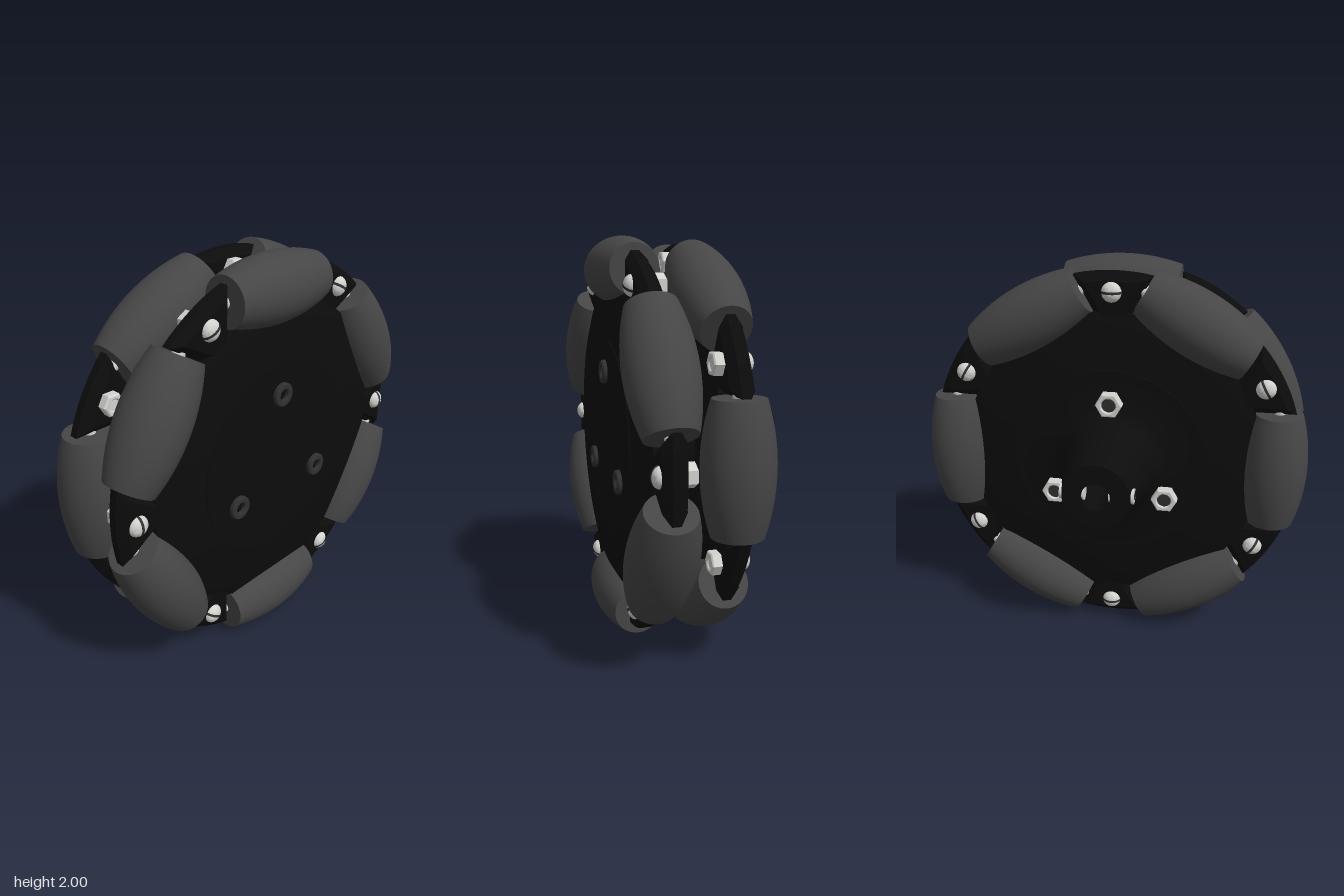
import * as THREE from 'three';
import { toCreasedNormals } from 'three/addons/utils/BufferGeometryUtils.js';

const mat = (name, color) => {
  const m = new THREE.MeshStandardMaterial({ color });
  m.name = name;
  return m;
};
const black = mat('black plastic', 0x0c0c0c);
const rubber = mat('grey rubber', 0x464646);
const steel = mat('bright steel', 0xd2d2cf);
const dark = mat('dark steel', 0x303030);

function add(parent, name, geometry, material, x = 0, y = 0, z = 0) {
  const mesh = new THREE.Mesh(toCreasedNormals(geometry, 0.6), material);
  mesh.name = name;
  mesh.position.set(x, y, z);
  parent.add(mesh);
  return mesh;
}

// Lathe around z; points are [radius, z], listed so the surface faces out
const turned = (points, segments = 64) =>
  new THREE.LatheGeometry(points.map(p => new THREE.Vector2(...p)), segments).rotateX(Math.PI / 2);

// Cylinder along z; six sides make a nut
const rod = (r, length, sides = 24) =>
  new THREE.CylinderGeometry(r, r, length, sides).rotateX(Math.PI / 2);

// Ring extruded along z from 0, with a round hole
function ring(r, hole, length, sides) {
  const shape = new THREE.Shape();
  for (let i = 0; i < sides; i++) {
    const a = (i / sides) * Math.PI * 2;
    shape[i ? 'lineTo' : 'moveTo'](r * Math.cos(a), r * Math.sin(a));
  }
  shape.closePath();
  const path = new THREE.Path();
  path.absarc(0, 0, hole, 0, Math.PI * 2, true);
  shape.holes.push(path);
  return new THREE.ExtrudeGeometry(shape, {
    depth: length - 0.012, bevelThickness: 0.006, bevelSize: 0.006, bevelOffset: -0.006,
    bevelSegments: 1, curveSegments: 16,
  }).translate(0, 0, 0.006);
}

const CENTRE = 0.835; // distance from wheel centre to roller axis
const HALF = 0.3;     // half the roller length

// Barrel whose outer edge follows the unit wheel circle
function rollerGeometry() {
  const points = [[0.03, -HALF]];
  for (let i = 0; i <= 20; i++) {
    const t = -HALF + (2 * HALF * i) / 20;
    points.push([Math.sqrt(1 - t * t) - CENTRE, t]);
  }
  points.push([0.03, HALF]);
  return turned(points, 48).rotateY(Math.PI / 2);
}

// Disc outline with six roller pockets and lugs between them
function plateGeometry() {
  const pts = [];
  const pocket = [[0.918, -0.306], [0.705, -0.306], [0.675, -0.15], [0.665, 0],
    [0.675, 0.15], [0.705, 0.306], [0.918, 0.306]];
  for (let k = 0; k < 6; k++) {
    const a = (k + 0.5) * Math.PI / 3;
    for (const [u, t] of pocket)
      pts.push(new THREE.Vector2(u * Math.cos(a) - t * Math.sin(a), u * Math.sin(a) + t * Math.cos(a)));
    for (let j = -3; j <= 3; j++) {
      const b = a + Math.PI / 6 + j * 0.05;
      pts.push(new THREE.Vector2(0.968 * Math.cos(b), 0.968 * Math.sin(b)));
    }
  }
  return new THREE.ExtrudeGeometry(new THREE.Shape(pts), {
    depth: 0.04, bevelThickness: 0.035, bevelSize: 0.04, bevelOffset: -0.04, bevelSegments: 1,
  }).translate(0, 0, -0.02);
}

// One row of six rollers; screw heads face +z, nuts face -z
function createRow(name) {
  const row = new THREE.Group();
  row.name = name;
  add(row, 'pocketedPlate', plateGeometry(), black);
  add(row, 'plateDisc', turned([[0, -0.08], [0.68, -0.08], [0.78, -0.05], [0.78, 0.05], [0.68, 0.08], [0, 0.08]], 96), black);

  for (let k = 0; k < 6; k++) {
    const station = new THREE.Group();
    station.name = 'rollerStation';
    station.rotation.z = k * Math.PI / 3;
    row.add(station);
    add(station, 'roller', rollerGeometry(), rubber, 0, CENTRE, 0);
    add(station, 'axle', rod(0.03, 0.66, 16).rotateY(Math.PI / 2), steel, 0, CENTRE, 0);

    // Lug fastener, halfway between two rollers
    const fastener = new THREE.Group();
    fastener.name = 'lugFastener';
    fastener.rotation.z = Math.PI / 6;
    station.add(fastener);
    const dome = new THREE.SphereGeometry(0.05, 24, 10, 0, Math.PI * 2, 0, Math.PI / 2)
      .rotateX(Math.PI / 2).scale(1, 1, 0.76);
    add(fastener, 'screwHead', dome, steel, 0, 0.877, 0.05);
    // Curved strip lying just over the dome
    const slot = new THREE.CylinderGeometry(0.0508, 0.0508, 0.012, 24, 1, false, -Math.PI / 2, Math.PI)
      .scale(1, 1, 0.78);
    add(fastener, 'screwSlot', slot, dark, 0, 0.877, 0.05);
    add(fastener, 'lugNut', ring(0.056, 0.026, 0.05, 6), steel, 0, 0.877, -0.102);
    add(fastener, 'screwShank', rod(0.027, 0.13), steel, 0, 0.877, -0.03);
  }
  return row;
}

export function createModel() {
  const model = new THREE.Group();
  model.name = 'omniWheel';
  const wheel = new THREE.Group();
  wheel.name = 'wheel';
  wheel.position.y = 1;
  model.add(wheel);

  // Roller rows, staggered by half a step and facing away from each other
  const front = createRow('frontRow');
  front.position.z = 0.31;
  const back = createRow('backRow');
  back.position.z = 0.003;
  back.rotation.set(0, Math.PI, Math.PI / 6);
  wheel.add(front, back);

  // Central drum and tapered shaft hub with its bore
  add(wheel, 'hub', turned([[0, -0.1], [0.07, -0.1], [0.07, -0.475], [0.165, -0.475], [0.232, -0.18],
    [0.242, -0.145], [0.262, -0.115], [0.3, -0.09], [0.5, -0.09], [0.5, 0.395], [0, 0.395]], 72), black);

  // Set screws on both sides of the hub
  for (const side of [-1, 1]) {
    add(wheel, 'setScrew', rod(0.038, 0.12, 20).rotateY(Math.PI / 2), steel, side * 0.12, 0, -0.43);
    add(wheel, 'setScrewSocket', rod(0.018, 0.004, 6).rotateY(Math.PI / 2), dark, side * 0.1805, 0, -0.43);
  }

  // Three through bolts with socket heads in front and nuts behind
  for (let k = 0; k < 3; k++) {
    const bolt = new THREE.Group();
    bolt.name = 'throughBolt';
    bolt.rotation.z = k * Math.PI * 2 / 3;
    wheel.add(bolt);
    add(bolt, 'boltHead', ring(0.06, 0.028, 0.05, 32), dark, 0, 0.335, 0.368);
    add(bolt, 'boltSocket', rod(0.032, 0.01, 6), black, 0, 0.335, 0.392);
    add(bolt, 'boltNut', ring(0.068, 0.036, 0.055, 6), steel, 0, 0.335, -0.145);
    add(bolt, 'boltEnd', rod(0.037, 0.04), dark, 0, 0.335, -0.112);
  }
  return model;
}
